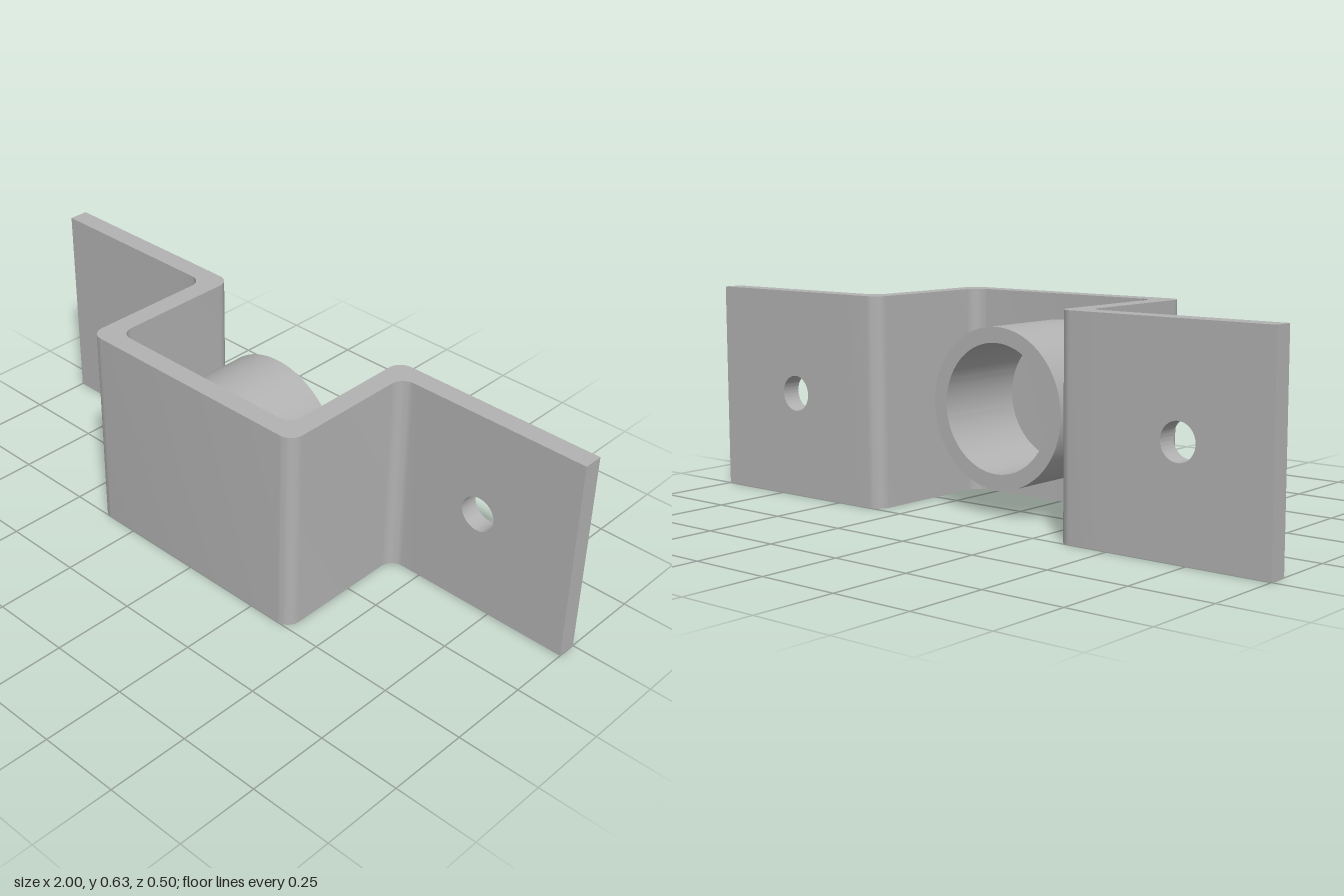
import * as THREE from 'three';
import { toCreasedNormals } from 'three/addons/utils/BufferGeometryUtils.js';

const HEIGHT = 0.63, MID = HEIGHT / 2 + 0.002;
const BACK = -0.25, FRONT = 0.25, THICK = 0.06;
const OUT = 0.394, IN = OUT - THICK; // wall faces of the channel
const BEND = 0.042, SEAM = 0.48; // bend radius, where flanges join the channel

// Closed shape through [x, y, radius] corners, rounding those with a radius
function roundedShape(corners) {
  const shape = new THREE.Shape();
  const k = 0.4477;
  corners.forEach(([x, y, r], i) => {
    const here = new THREE.Vector2(x, y);
    const toward = (c, d) => here.clone().add(new THREE.Vector2(c[0], c[1]).sub(here).setLength(d));
    const prev = corners[(i + corners.length - 1) % corners.length];
    const next = corners[(i + 1) % corners.length];
    if (!r) {
      if (i === 0) shape.moveTo(x, y);
      else shape.lineTo(x, y);
      return;
    }
    const a = toward(prev, r), b = toward(next, r);
    const c1 = toward(prev, r * k), c2 = toward(next, r * k);
    shape.lineTo(a.x, a.y);
    shape.bezierCurveTo(c1.x, c1.y, c2.x, c2.y, b.x, b.y);
  });
  shape.closePath();
  return shape;
}

function extrude(shape, depth, curveSegments) {
  const geometry = new THREE.ExtrudeGeometry(shape, { depth, curveSegments, bevelEnabled: false });
  return toCreasedNormals(geometry, 0.6);
}

function circleHole(x, y, radius) {
  return new THREE.Path().absarc(x, y, radius, 0, Math.PI * 2, true);
}

export function createModel() {
  const group = new THREE.Group();
  const steel = new THREE.MeshStandardMaterial({ color: 0xb2b2b2 });
  steel.name = 'grey steel';

  const add = (name, geometry) => {
    const mesh = new THREE.Mesh(geometry, steel);
    mesh.name = name;
    group.add(mesh);
    return mesh;
  };

  // Folded channel: profile drawn from above, then extruded upward
  const half = [
    [SEAM, -BACK - THICK, 0], [OUT, -BACK - THICK, BEND], [OUT, -FRONT, BEND],
  ];
  const inner = [
    [IN, -FRONT + THICK, BEND], [IN, -BACK, BEND], [SEAM, -BACK, 0],
  ];
  const mirror = (points) => points.map(([x, y, r]) => [-x, y, r]).reverse();
  const profile = roundedShape([...half, ...mirror(half), ...mirror(inner), ...inner]);
  add('channel', extrude(profile, HEIGHT, 8).rotateX(-Math.PI / 2));

  // Mounting flanges, each with a bolt hole
  for (const [name, x0, x1, holeX] of [
    ['leftFlange', SEAM, 1, 0.685],
    ['rightFlange', -1, -SEAM, -0.72],
  ]) {
    const plate = roundedShape([[x0, 0, 0], [x1, 0, 0], [x1, HEIGHT, 0], [x0, HEIGHT, 0]]);
    plate.holes.push(circleHole(holeX, MID, 0.054));
    add(name, extrude(plate, THICK, 32)).position.z = BACK;
  }

  // Open sleeve standing on the inside of the channel
  const ring = new THREE.Shape().absarc(0, MID, 0.236, 0, Math.PI * 2, false);
  ring.holes.push(circleHole(0, MID, 0.19));
  const sleeveBack = -0.11;
  add('sleeve', extrude(ring, FRONT - THICK - sleeveBack, 64)).position.z = sleeveBack;

  return group;
}
